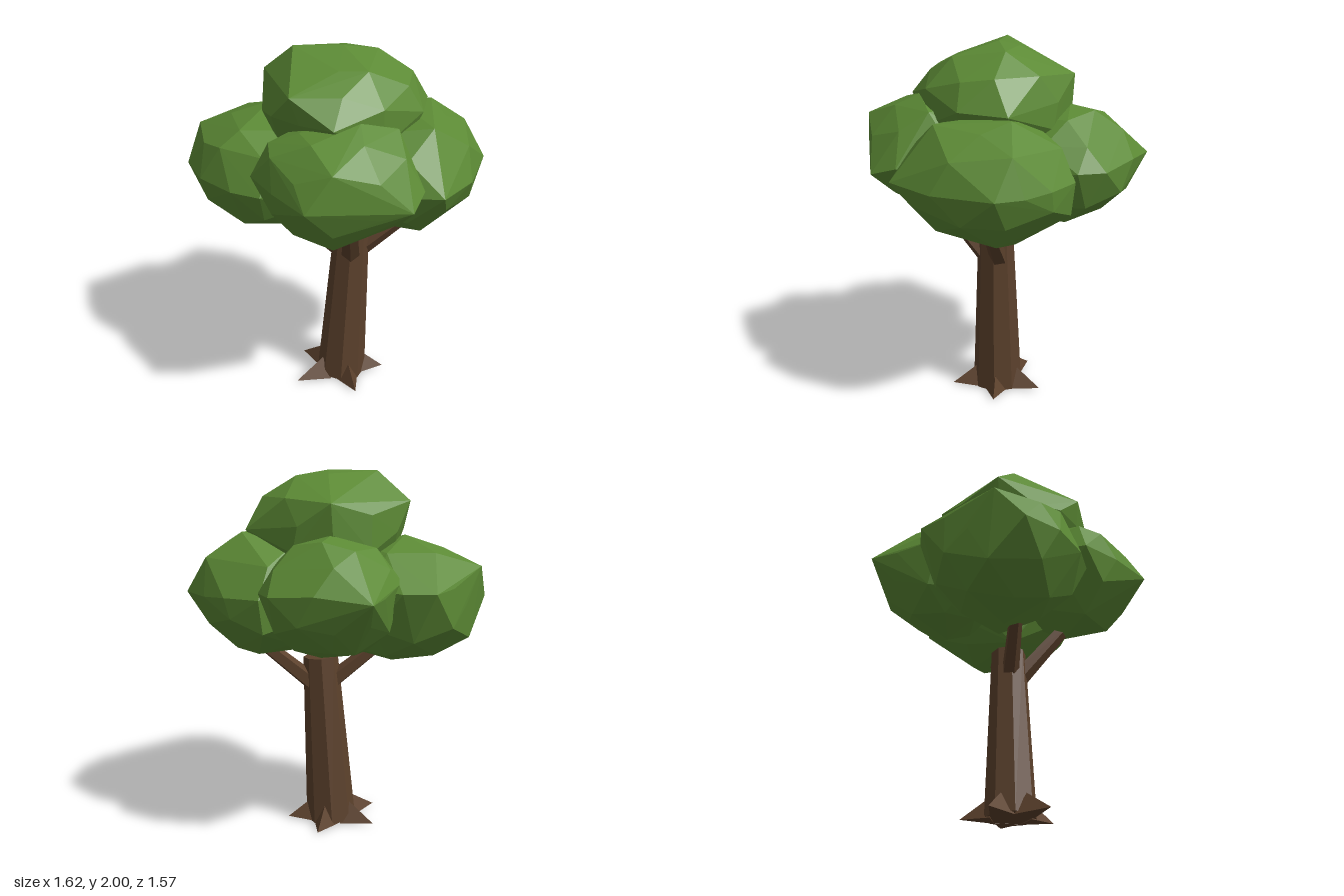
import * as THREE from 'three';
import { ConvexGeometry } from 'three/addons/geometries/ConvexGeometry.js';

const leaf = new THREE.MeshStandardMaterial({ color: 0x5c8a35 });
leaf.name = 'leafGreen';
const bark = new THREE.MeshStandardMaterial({ color: 0x5c412c });
bark.name = 'barkBrown';

const V = (a) => new THREE.Vector3(...a);

// Faceted tapered limb running from point a to point b
function limb(name, a, b, r0, r1, sides, turn = 0) {
  const from = V(a), to = V(b);
  const axis = to.clone().sub(from);
  let geo = new THREE.CylinderGeometry(r1, r0, axis.length(), sides);
  geo.rotateY(turn);
  geo.applyQuaternion(new THREE.Quaternion().setFromUnitVectors(new THREE.Vector3(0, 1, 0), axis.normalize()));
  geo = geo.toNonIndexed();
  geo.computeVertexNormals();
  const mesh = new THREE.Mesh(geo, bark);
  mesh.position.copy(from.add(to).multiplyScalar(0.5));
  mesh.name = name;
  return mesh;
}

// Faceted leaf clump: an ellipsoid whose nearest corners are pulled out to the given tips
function clump(name, centre, radii, tips) {
  const pos = new THREE.IcosahedronGeometry(1, 1).attributes.position;
  const corners = [];
  for (let i = 0; i < pos.count; i++) {
    const p = new THREE.Vector3().fromBufferAttribute(pos, i).multiply(V(radii)).add(V(centre));
    if (!corners.some((c) => c.distanceTo(p) < 1e-4)) corners.push(p);
  }
  const used = new Set();
  for (const t of tips.map(V)) {
    const free = corners.filter((c) => !used.has(c));
    const near = free.reduce((m, c) => (c.distanceTo(t) < m.distanceTo(t) ? c : m));
    near.copy(t);
    used.add(near);
  }
  const mesh = new THREE.Mesh(new ConvexGeometry(corners), leaf);
  mesh.name = name;
  return mesh;
}

export function createModel() {
  const tree = new THREE.Group();
  tree.name = 'tree';

  // Leaning trunk and its three branches
  tree.add(
    limb('trunk', [0.033, 0.012, 0.022], [0.09, 0.972, 0.022], 0.14, 0.097, 8),
    limb('leftBranch', [0.12, 0.81, 0], [0.47, 1.1, 0], 0.052, 0.036, 5),
    limb('rightBranch', [0.06, 0.8, 0.02], [-0.3, 1.09, 0], 0.052, 0.036, 5),
    limb('frontBranch', [0.085, 0.8, 0.06], [0.08, 1.18, 0.37], 0.054, 0.038, 5)
  );

  // Five pointed, ridge-backed roots around the foot
  const roots = new THREE.Group();
  roots.name = 'roots';
  const rootTips = [[0.28, 0.01], [0.12, 0.27], [-0.225, 0.18], [-0.2, -0.13], [0.12, -0.235]];
  for (const [x, z] of rootTips) {
    const cx = 0.035, cz = 0.02;
    const start = [cx + (x - cx) * 0.38, 0.045, cz + (z - cz) * 0.38];
    roots.add(limb('root', start, [x, 0.016, z], 0.08, 0, 3, Math.atan2(cx - x, cz - z)));
  }
  tree.add(roots);

  // Crown of five overlapping clumps
  const crown = new THREE.Group();
  crown.name = 'crown';
  crown.add(
    clump('topClump', [0.04, 1.68, 0.03], [0.41, 0.31, 0.41], [
      [-0.22, 1.995, 0], [0.04, 2, 0.01], [0.22, 1.97, -0.05], [0.4, 1.86, -0.02], [0.49, 1.69, -0.1],
      [-0.385, 1.84, -0.12], [-0.38, 1.68, 0.1], [0, 1.71, 0.49], [0.45, 1.7, 0.16], [0.05, 1.84, -0.39],
      [-0.22, 1.84, 0.38], [0.02, 1.93, 0.23], [-0.32, 1.7, 0.25], [-0.17, 1.7, 0.38], [0.22, 1.72, -0.32],
      [0.28, 1.86, -0.23], [0.05, 1.98, -0.1]]),
    clump('rightClump', [-0.37, 1.31, -0.08], [0.41, 0.335, 0.43], [
      [-0.815, 1.32, -0.05], [-0.66, 1.31, -0.32], [-0.76, 1.5, -0.2], [-0.36, 1.66, -0.1], [-0.3, 0.965, -0.07],
      [-0.7, 1.12, -0.22], [-0.47, 1.4, -0.54], [-0.3, 1.4, -0.53], [-0.54, 1.3, 0.3], [-0.38, 1.3, 0.37],
      [-0.57, 1.59, -0.1], [-0.52, 1.01, -0.05], [0, 1.05, -0.05], [-0.6, 1.5, 0.18]]),
    clump('leftClump', [0.37, 1.35, 0.02], [0.4, 0.325, 0.44], [
      [0.81, 1.36, -0.08], [0.7, 1.55, -0.15], [0.51, 1.68, -0.12], [0.55, 1.04, -0.05], [0.72, 1.2, 0.1],
      [0.55, 1.36, 0.49], [0.6, 1.36, -0.33], [0.42, 1.36, -0.43], [0.5, 1.65, 0.27], [0.43, 1.02, -0.13],
      [0.05, 1.03, 0.03], [0.4, 1.18, -0.41], [0.45, 1.08, 0.28], [0.25, 1.05, 0.15]]),
    clump('frontClump', [0.02, 1.42, 0.37], [0.41, 0.305, 0.36], [
      [-0.13, 1.41, 0.785], [0, 1.59, 0.74], [0.39, 1.35, 0.63], [0.45, 1.4, 0.48], [-0.425, 1.42, 0.36],
      [-0.3, 1.42, 0.57], [0.13, 1.73, 0.42], [0, 1.24, 0.68], [0, 1.12, 0.58], [0.32, 1.67, 0.33],
      [-0.33, 1.6, 0.35], [-0.17, 1.67, 0.4], [-0.21, 1.11, 0.4], [0.11, 1.1, 0.35], [0.33, 1.24, 0.52]]),
    clump('backClump', [0.05, 1.36, -0.37], [0.36, 0.32, 0.35], [
      [-0.13, 1.39, -0.785], [0.15, 1.42, -0.71], [0.37, 1.4, -0.58], [0.42, 1.4, -0.44], [-0.31, 1.45, -0.43],
      [-0.2, 1.4, -0.65], [0.1, 1.66, -0.5], [0.1, 1.04, -0.33], [0.05, 1.11, -0.55], [0.05, 1.55, -0.65],
      [0.05, 1.23, -0.68], [-0.18, 1.62, -0.4]])
  );
  tree.add(crown);

  return tree;
}
